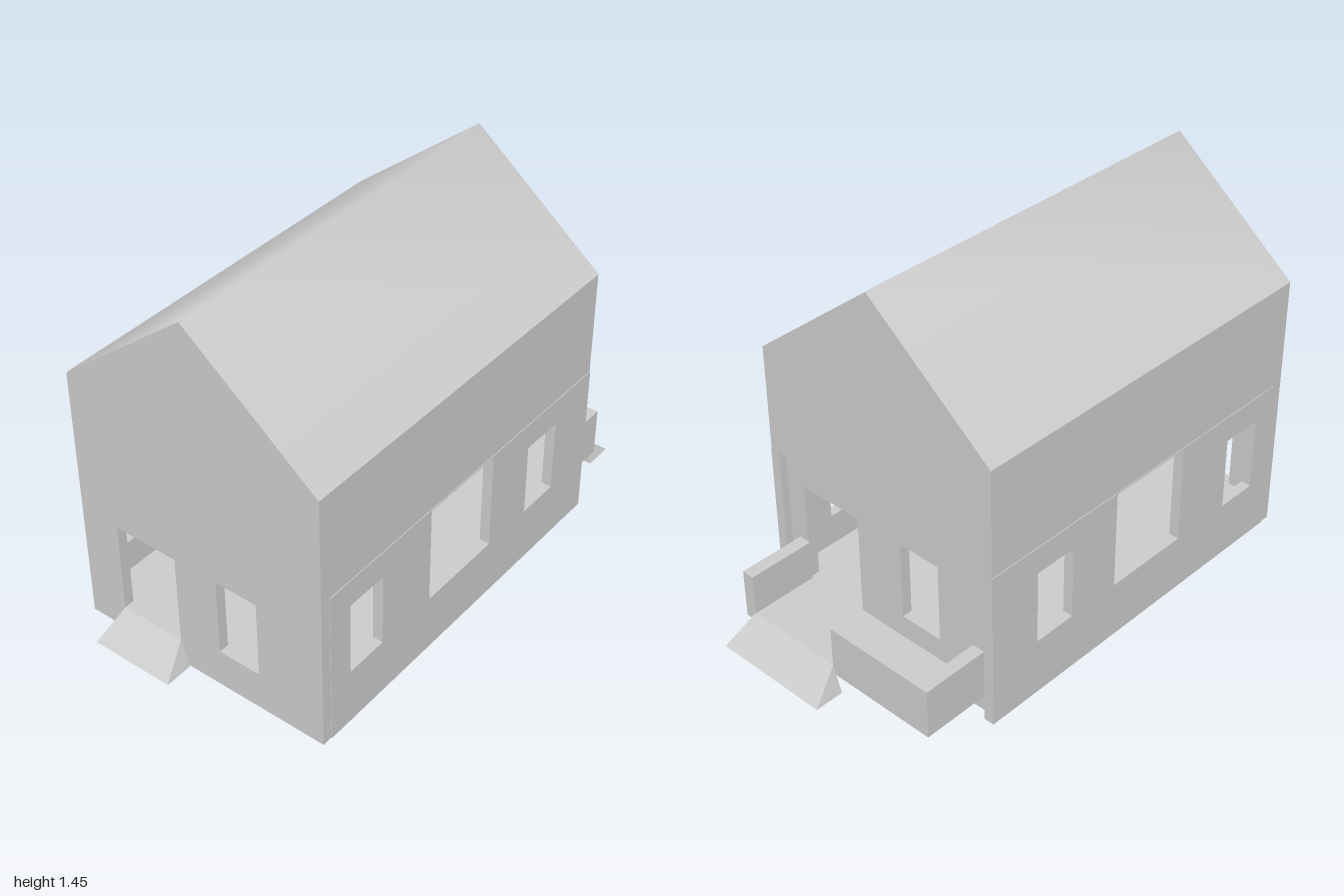
import * as THREE from 'three';
import { ConvexGeometry } from 'three/addons/geometries/ConvexGeometry.js';

const W = 0.52, BACK = -0.65, FRONT = 0.885, T = 0.04;
const EAVE = 1.035, RIDGE = 1.45, STOREY = 0.62, FLOOR = 0.1, UNDER = 0.065;

export function createModel() {
  const group = new THREE.Group();
  const mat = new THREE.MeshStandardMaterial({ color: 0xcccccc });

  const add = (name, geometry, material = mat) => {
    const mesh = new THREE.Mesh(geometry, material);
    mesh.name = name;
    group.add(mesh);
    return mesh;
  };

  // box from its minimum and maximum corners
  const box = (name, x0, x1, y0, y1, z0, z1) =>
    add(name, new THREE.BoxGeometry(x1 - x0, y1 - y0, z1 - z0)
      .translate((x0 + x1) / 2, (y0 + y1) / 2, (z0 + z1) / 2));

  const outline = (points) => points.map(([x, y]) => new THREE.Vector2(x, y));

  // flat panel with rectangular windows [x0, x1, y0, y1]
  const panel = (points, windows, depth) => {
    const shape = new THREE.Shape(outline(points));
    for (const [a, b, c, d] of windows)
      shape.holes.push(new THREE.Path(outline([[a, c], [a, d], [b, d], [b, c]])));
    return new THREE.ExtrudeGeometry(shape, { depth, bevelEnabled: false });
  };

  // points of a doorway cut up from the ground
  const doorway = (x0, x1, top) => [[x0, 0], [x0, top], [x1, top], [x1, 0]];

  // front gable wall with door and window
  add('frontWall', panel(
    [[-W, 0], ...doorway(-0.36, -0.1, 0.465), [W, 0], [W, EAVE], [0, RIDGE], [-W, EAVE]],
    [[0.08, 0.25, 0.155, 0.465]], T)).position.z = FRONT - T;

  // back wall, set in below the upper storey
  add('backWall', panel(
    [[-0.483, 0], ...doorway(0.13, 0.4, 0.5), [0.483, 0], [0.483, STOREY], [-0.483, STOREY]],
    [[-0.25, -0.075, 0.19, 0.5]], T)).position.z = BACK + 0.03;

  // side walls with three windows each, drawn along -z
  const z0 = -(FRONT - T), z1 = -BACK;
  const sideWindows = [[-0.745, -0.575, 0.225, 0.515], [-0.315, 0.04, 0.225, 0.615], [0.26, 0.435, 0.225, 0.515]];
  for (const [name, x] of [['leftWall', 0.483], ['rightWall', -0.523]]) {
    const wall = add(name, panel([[z0, 0], [z1, 0], [z1, STOREY], [z0, STOREY]], sideWindows, T));
    wall.rotation.y = Math.PI / 2;
    wall.position.x = x;
  }

  // upper storey block
  add('upperStorey', panel(
    [[-W, STOREY], [W, STOREY], [W, EAVE], [0, RIDGE], [-W, EAVE]], [],
    FRONT - T - BACK)).position.z = BACK;

  // roof skin, shaded smoothly across the ridge
  const roof = new THREE.BufferGeometry();
  const roofPoints = [];
  for (const z of [FRONT, BACK])
    for (const [x, y] of [[-W, EAVE], [0, RIDGE], [W, EAVE]]) roofPoints.push(x, y + 0.002, z);
  roof.setAttribute('position', new THREE.Float32BufferAttribute(roofPoints, 3));
  roof.setIndex([0, 1, 4, 0, 4, 3, 1, 2, 5, 1, 5, 4]);
  roof.computeVertexNormals();
  add('roof', roof);

  // floor and door thresholds
  box('floor', -0.483, 0.483, UNDER, FLOOR, BACK + 0.07, FRONT - T);
  box('frontThreshold', -0.36, -0.1, UNDER, FLOOR, FRONT - T, FRONT);
  box('backThreshold', 0.13, 0.4, UNDER, FLOOR, BACK + 0.03, BACK + 0.07);

  // rear terrace with parapets
  box('terraceFloor', -0.405, 0.39, UNDER, FLOOR, -FRONT, BACK + 0.03);
  box('terraceRightParapet', -0.455, -0.405, UNDER, 0.26, -FRONT, BACK + 0.03);
  box('terraceLeftParapet', 0.39, 0.44, UNDER, 0.26, -FRONT, BACK + 0.03);
  box('terraceBackParapet', -0.405, -0.005, UNDER, 0.26, -FRONT, -FRONT + 0.05);

  // flared entrance ramps
  const ramp = (name, x0, x1, zTop, zEnd) => {
    const flare = 0.037;
    const points = [[x0, FLOOR, zTop], [x1, FLOOR, zTop]];
    for (const z of [zTop, zEnd]) points.push([x0 - flare, 0, z], [x1 + flare, 0, z]);
    add(name, new ConvexGeometry(points.map((p) => new THREE.Vector3(...p))));
  };
  ramp('frontRamp', -0.36, -0.1, FRONT, 1);
  ramp('backRamp', -0.005, 0.393, -FRONT, -1);

  return group;
}
